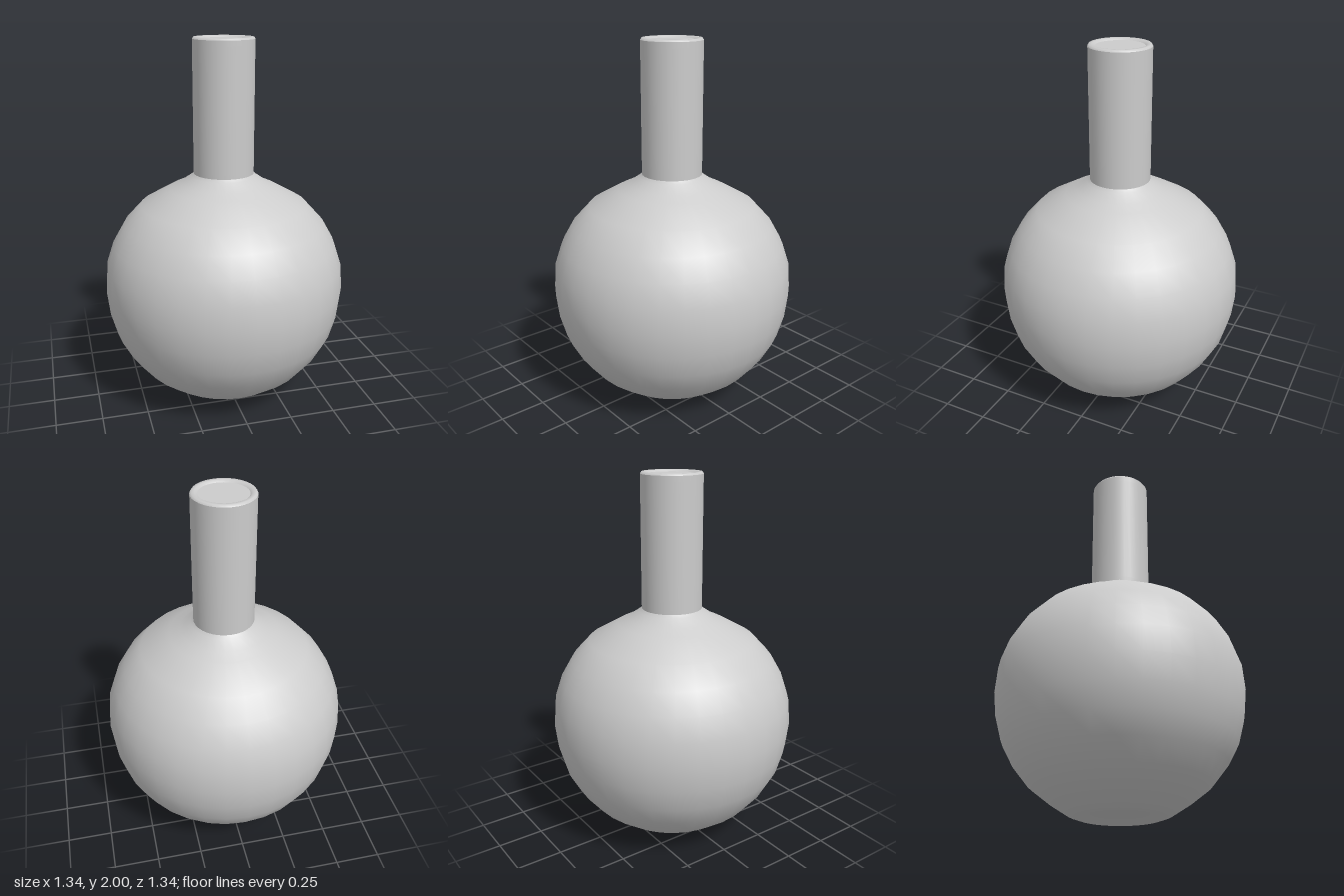
import * as THREE from 'three';

const SIDES = 32;

export function createModel() {
  const group = new THREE.Group();
  const material = new THREE.MeshStandardMaterial({ color: 0xcccccc, side: THREE.DoubleSide });

  // Turns a profile of [radius, height] points around the vertical axis
  const turned = (name, profile) => {
    const points = profile.map(([r, y]) => new THREE.Vector2(r, y));
    const mesh = new THREE.Mesh(new THREE.LatheGeometry(points, SIDES), material);
    mesh.name = name;
    group.add(mesh);
  };

  // Hollowed underside
  turned('basePunt', [[0, 0.045], [0.08, 0.039], [0.16, 0.021], [0.22, 0]]);

  // Round bulb with a sloping shoulder
  turned('bulb', [
    [0.22, 0], [0.27, 0.017], [0.37, 0.08], [0.475, 0.16], [0.56, 0.265], [0.62, 0.375],
    [0.655, 0.5], [0.67, 0.63], [0.66, 0.77], [0.62, 0.89], [0.557, 1.0], [0.46, 1.105],
    [0.3, 1.195], [0.24, 1.222], [0.18, 1.263], [0.165, 1.278],
  ]);

  // Straight neck
  turned('neck', [[0.165, 1.278], [0.165, 1.3], [0.165, 1.96], [0.165, 1.99]]);

  // Rounded lip dipping to the mouth
  turned('lip', [[0.165, 1.99], [0.158, 2], [0.14, 2], [0.128, 1.99]]);

  // Flat surface closing the mouth
  turned('mouth', [[0.128, 1.99], [0, 1.99]]);

  return group;
}
